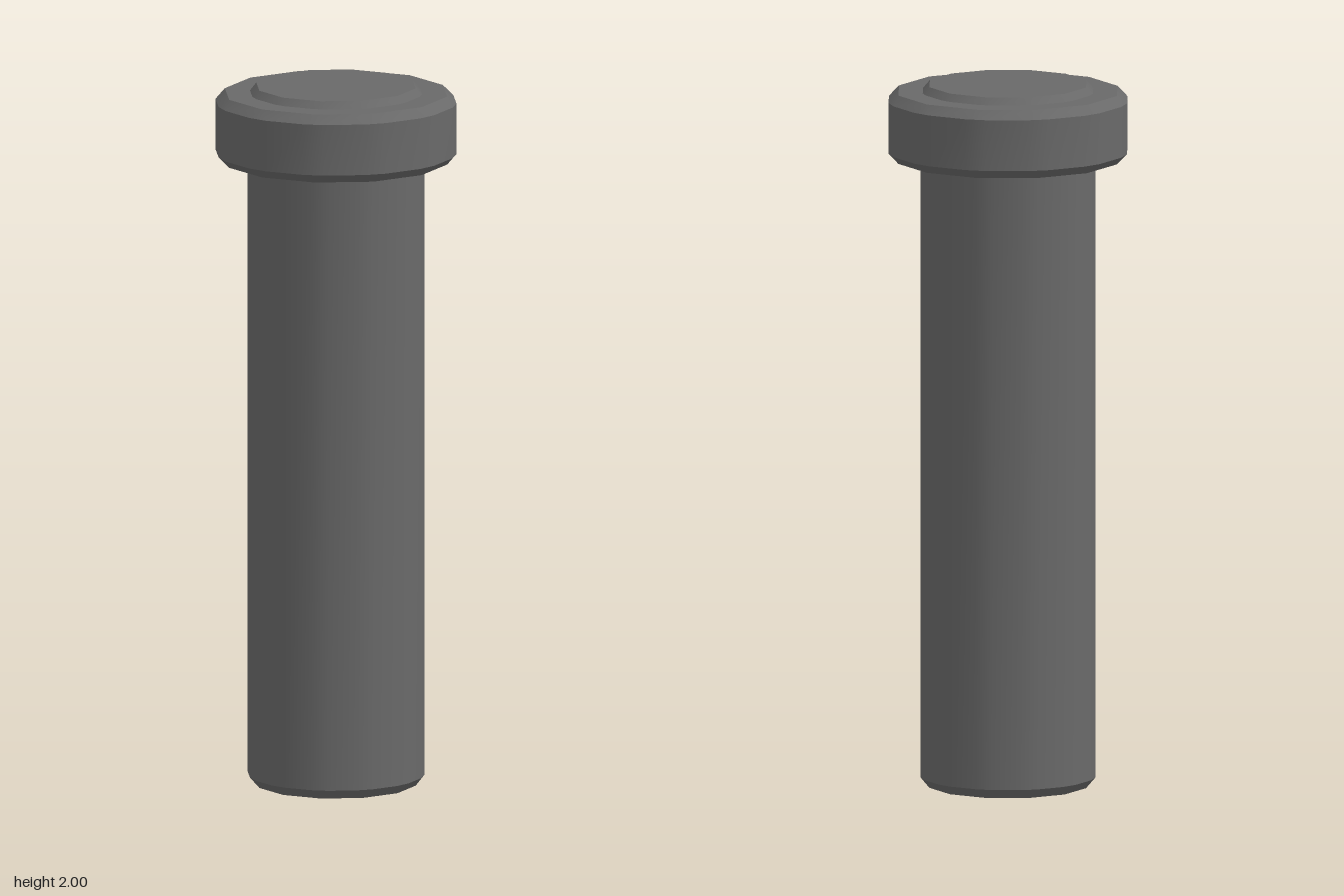
import * as THREE from 'three';
import { toCreasedNormals } from 'three/addons/utils/BufferGeometryUtils.js';

const SIDES = 12;

// Twelve-sided prism with every edge chamfered; each corner becomes two points on the side rings.
function chamferedPrism(y0, y1, capRadius, sideX, cornerHalf, bevel) {
  const sideRadius = Math.hypot(sideX, cornerHalf);
  const spread = Math.atan2(cornerHalf, sideX);
  const ring = (y, radius, offset) => Array.from({ length: SIDES * 2 }, (_, i) => {
    const a = Math.floor(i / 2) * Math.PI * 2 / SIDES + (i % 2 ? offset : -offset);
    return new THREE.Vector3(Math.sin(a) * radius, y, Math.cos(a) * radius);
  });
  const rings = [
    ring(y0, 0, 0),
    ring(y0, capRadius, 0),
    ring(y0 + bevel, sideRadius, spread),
    ring(y1 - bevel, sideRadius, spread),
    ring(y1, capRadius, 0),
    ring(y1, 0, 0),
  ];

  const points = [];
  const addTriangle = (a, b, c) => {
    const area = b.clone().sub(a).cross(c.clone().sub(a)).length();
    if (area > 1e-8) points.push(a, b, c); // skip collapsed corners
  };
  for (let k = 0; k < rings.length - 1; k++) {
    for (let i = 0; i < SIDES * 2; i++) {
      const j = (i + 1) % (SIDES * 2);
      addTriangle(rings[k][i], rings[k][j], rings[k + 1][j]);
      addTriangle(rings[k][i], rings[k + 1][j], rings[k + 1][i]);
    }
  }
  const geometry = new THREE.BufferGeometry().setFromPoints(points);
  return toCreasedNormals(geometry, 0.42);
}

export function createModel() {
  const group = new THREE.Group();
  group.name = 'pin';
  const material = new THREE.MeshStandardMaterial({ color: 0x696969 });

  const addPart = (name, geometry) => {
    const mesh = new THREE.Mesh(geometry, material);
    mesh.name = name;
    group.add(mesh);
  };

  // Shaft runs the full height and pokes slightly out of the head
  addPart('shaft', chamferedPrism(0, 2, 0.228, 0.248, 0.024, 0.027));

  // Wide collar around the top
  addPart('head', chamferedPrism(1.785, 1.98, 0.318, 0.339, 0.03, 0.025));

  return group;
}
